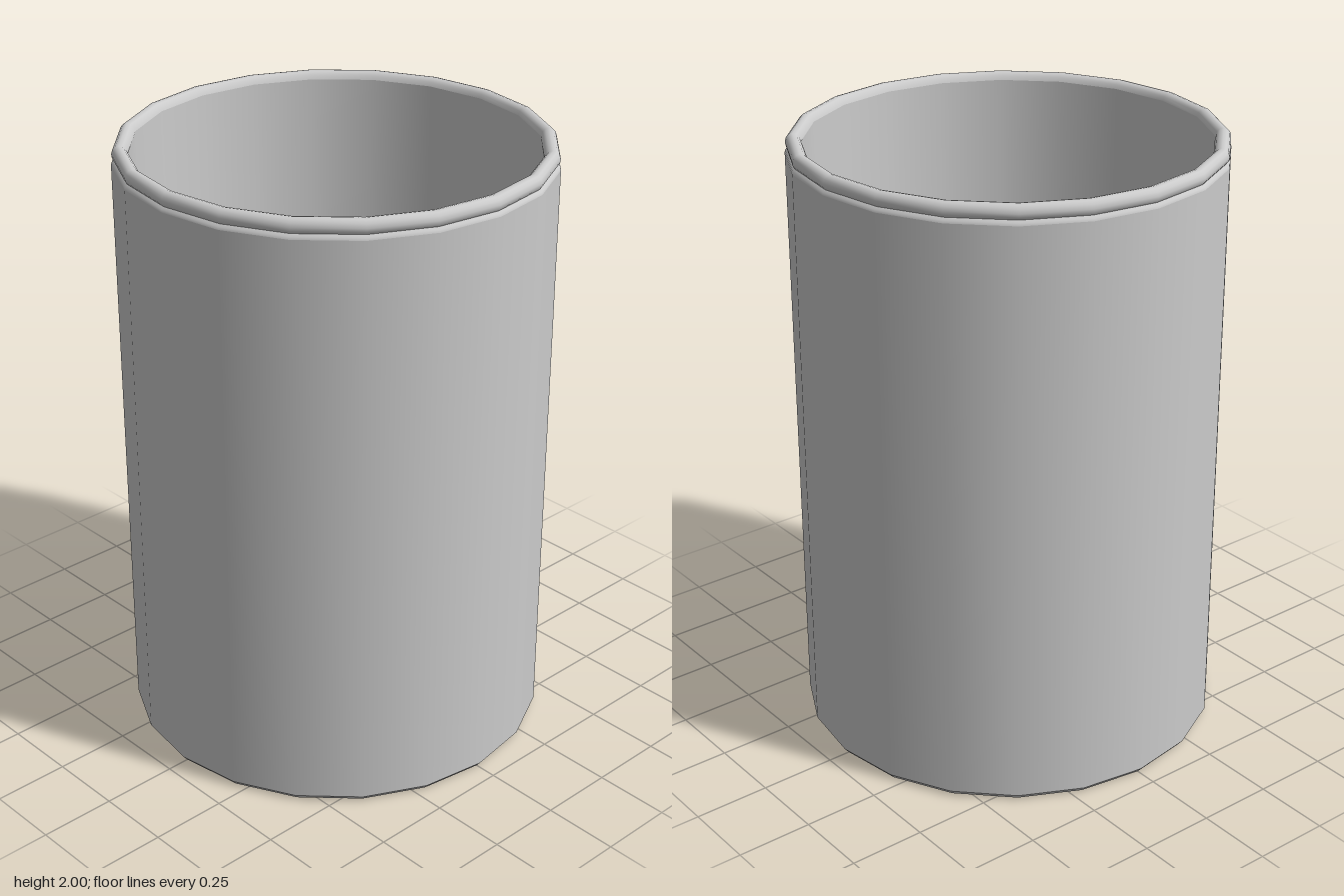
import * as THREE from 'three';

const SIDES = 20;

export function createModel() {
  const group = new THREE.Group();
  group.name = 'cup';
  const material = new THREE.MeshStandardMaterial({ color: 0xcccccc });

  // Each band is its own lathe, so creases between bands stay sharp
  const band = (name, profile) => {
    const points = profile.map(([r, y]) => new THREE.Vector2(r, y));
    const mesh = new THREE.Mesh(new THREE.LatheGeometry(points, SIDES), material);
    mesh.name = name;
    group.add(mesh);
  };

  // Underside and bevelled foot
  band('base', [[0, 0], [0.675, 0]]);
  band('footBevel', [[0.675, 0], [0.69, 0.018]]);

  // Outer wall and the small groove under the rim
  band('outerWall', [[0.69, 0.018], [0.69, 1.94]]);
  band('groove', [[0.69, 1.94], [0.688, 1.948], [0.68, 1.955]]);

  // Rounded rim bead
  band('rim', [
    [0.68, 1.955], [0.686, 1.963], [0.688, 1.975], [0.684, 1.988], [0.675, 1.997],
    [0.664, 2], [0.652, 1.997], [0.643, 1.988], [0.638, 1.975],
  ]);

  // Slightly tapered inside and the floor
  band('innerWall', [[0.638, 1.975], [0.618, 0.05]]);
  band('floor', [[0.618, 0.05], [0, 0.05]]);

  return group;
}
